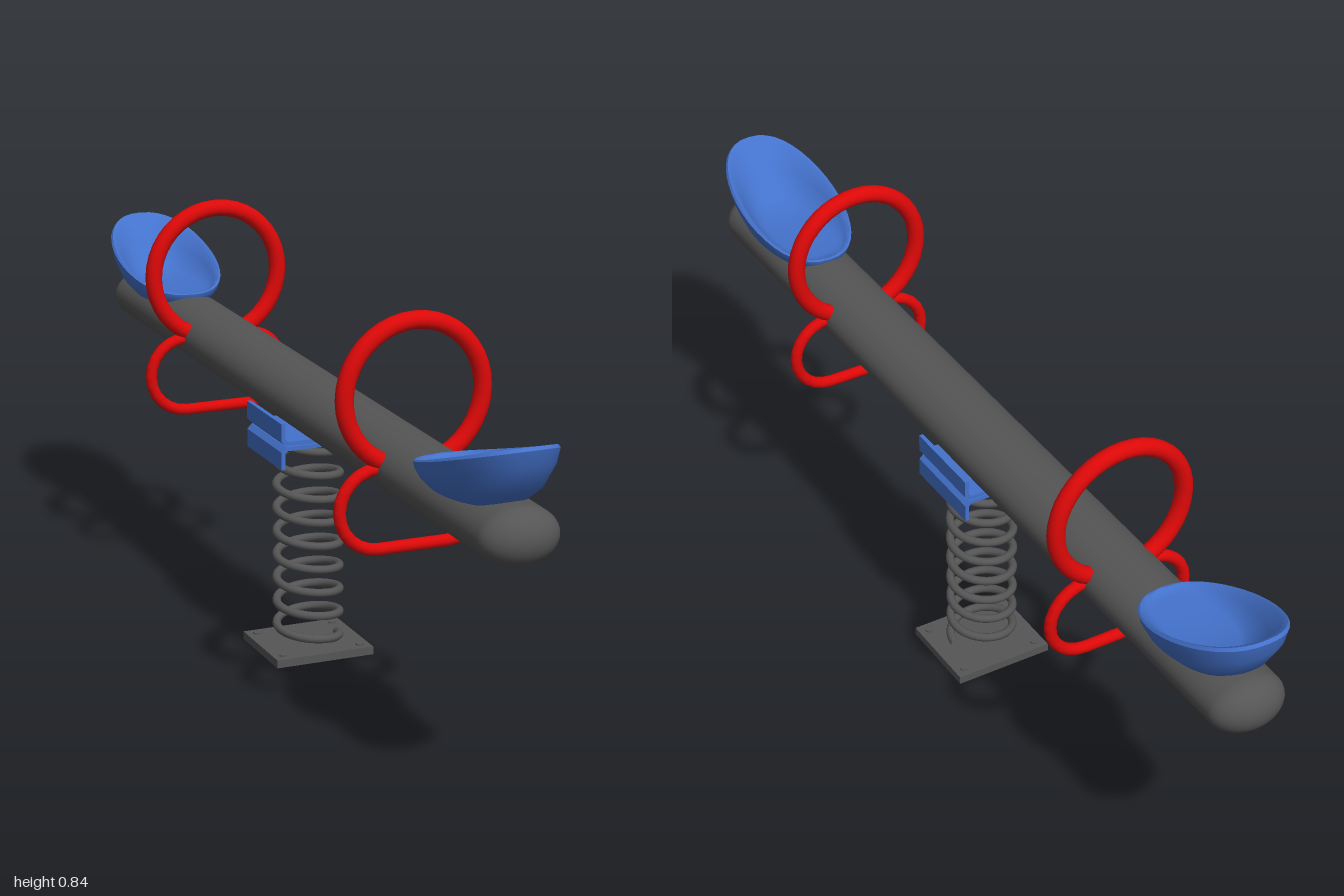
import * as THREE from 'three';
import { toCreasedNormals } from 'three/addons/utils/BufferGeometryUtils.js';

const steel = new THREE.MeshStandardMaterial({ color: 0x555555 });
const red = new THREE.MeshStandardMaterial({ color: 0xdd0808 });
const blue = new THREE.MeshStandardMaterial({ color: 0x4472cc, side: THREE.DoubleSide });

function add(parent, name, geometry, material, x = 0, y = 0, z = 0) {
  const mesh = new THREE.Mesh(geometry, material);
  mesh.name = name;
  mesh.position.set(x, y, z);
  parent.add(mesh);
  return mesh;
}

// Bucket seat: oval loops from the underside, over the rim, down to the floor
function seatGeometry() {
  // [half width, z start, z end, y at the low end, rise to the back, rise power]
  const loops = [
    [0, 0.78, 0.78, 0.572, 0, 1],
    [0.078, 0.65, 0.91, 0.572, 0.01, 1],
    [0.095, 0.64, 0.955, 0.582, 0.035, 1.2],
    [0.107, 0.632, 0.99, 0.592, 0.08, 1.2],
    [0.111, 0.63, 1.0, 0.6, 0.108, 1.15],
    [0.107, 0.633, 0.995, 0.602, 0.112, 1.15],
    [0.1, 0.638, 0.98, 0.601, 0.104, 1.15],
    [0.09, 0.64, 0.945, 0.6, 0.055, 1.2],
    [0.072, 0.642, 0.895, 0.598, 0.01, 1],
    [0.06, 0.66, 0.875, 0.597, 0.003, 1],
    [0, 0.78, 0.78, 0.597, 0, 1],
  ];
  const n = 40, pos = [], index = [];
  loops.forEach(([w, z0, z1, y, rise, power], j) => {
    for (let i = 0; i < n; i++) {
      const a = (i / n) * Math.PI * 2;
      const c = Math.cos(a), s = Math.sin(a);
      const u = (c + 1) / 2;
      pos.push(w * Math.sign(s) * Math.abs(s) ** 0.85, y + rise * u ** power, z0 + (z1 - z0) * u);
      if (j === loops.length - 1) continue;
      const k = j * n + i, l = j * n + ((i + 1) % n);
      if (j > 0) index.push(k, l, l + n);
      else index.push(k, l + n, k + n);
      if (j > 0 && j < loops.length - 2) index.push(k, l + n, k + n);
    }
  });
  const g = new THREE.BufferGeometry();
  g.setAttribute('position', new THREE.Float32BufferAttribute(pos, 3));
  g.setIndex(index);
  return toCreasedNormals(g, 0.8);
}

// Closed path with straight top and bottom and round ends
function stadiumCurve(halfStraight, r) {
  const pts = [];
  for (const side of [1, -1]) {
    for (let i = 0; i <= 12; i++) {
      const a = side * Math.PI / 2 * -1 + (i / 12) * Math.PI;
      pts.push(new THREE.Vector3(side * halfStraight + r * Math.cos(a), r * Math.sin(a), 0));
    }
  }
  const path = new THREE.CurvePath();
  pts.forEach((p, i) => path.add(new THREE.LineCurve3(p, pts[(i + 1) % pts.length])));
  return path;
}

// U-shaped channel with chamfered corners, legs up
function channelGeometry(length) {
  const half = [[0.094, 0.048], [0.094, 0.011], [0.084, 0.001]];
  const inner = [[0.08, 0.0095], [0.085, 0.0145], [0.085, 0.048]];
  const right = [...half].reverse();
  const outline = [
    ...half.map(([x, y]) => [-x, y]), ...right,
    ...[...inner].reverse(), ...inner.map(([x, y]) => [-x, y]),
  ];
  const shape = new THREE.Shape(outline.map(([x, y]) => new THREE.Vector2(x, y)));
  return new THREE.ExtrudeGeometry(shape, { depth: length, bevelEnabled: false })
    .translate(0, 0, -length / 2);
}

export function createModel() {
  const model = new THREE.Group();
  model.name = 'springSeesaw';
  const cx = 0.002, cz = -0.01;

  // Beam with rounded ends and an oval section
  const beam = new THREE.CapsuleGeometry(0.0565, 1.887, 12, 40).rotateX(Math.PI / 2).scale(1.41, 1, 1);
  add(model, 'beam', beam, steel, cx, 0.537, 0);

  // Base plate and bolts
  add(model, 'basePlate', new THREE.BoxGeometry(0.213, 0.017, 0.187), steel, cx, 0.0085, cz);
  for (const sx of [-1, 1]) for (const sz of [-1, 1]) {
    add(model, 'baseBolt', new THREE.CylinderGeometry(0.008, 0.008, 0.004, 12), steel,
      cx + sx * 0.085, 0.018, cz + sz * 0.072);
  }

  // Coil spring
  const coil = new THREE.Curve();
  coil.getPoint = (t, out = new THREE.Vector3()) => {
    const a = t * 8.6 * Math.PI * 2;
    return out.set(Math.cos(a) * 0.065, 0.026 + t * 0.43, Math.sin(a) * 0.065);
  };
  add(model, 'spring', new THREE.TubeGeometry(coil, 280, 0.0088, 10), steel, cx, 0, cz);

  // Bracket: two channels back to back
  const bracket = new THREE.Group();
  bracket.name = 'bracket';
  bracket.position.set(0, 0.468, cz);
  model.add(bracket);
  const channel = channelGeometry(0.184);
  add(bracket, 'upperChannel', channel, blue);
  add(bracket, 'lowerChannel', channel, blue).rotation.z = Math.PI;

  // Hand rings with foot loops beneath
  const ring = new THREE.TorusGeometry(0.142, 0.0178, 14, 40);
  const loop = new THREE.TubeGeometry(stadiumCurve(0.071, 0.08), 160, 0.0122, 12, true);
  for (const z of [0.507, -0.517]) {
    add(model, 'handRing', ring, red, 0, 0.682, z);
    add(model, 'footLoop', loop, red, 0, 0.464, z);
  }

  // Seats at both ends, the rear one a little shorter
  const seat = seatGeometry();
  add(model, 'frontSeat', seat, blue);
  const rear = add(model, 'rearSeat', seat, blue, 0, 0, -0.08);
  rear.rotation.y = Math.PI;
  rear.scale.z = 0.92;

  return model;
}
